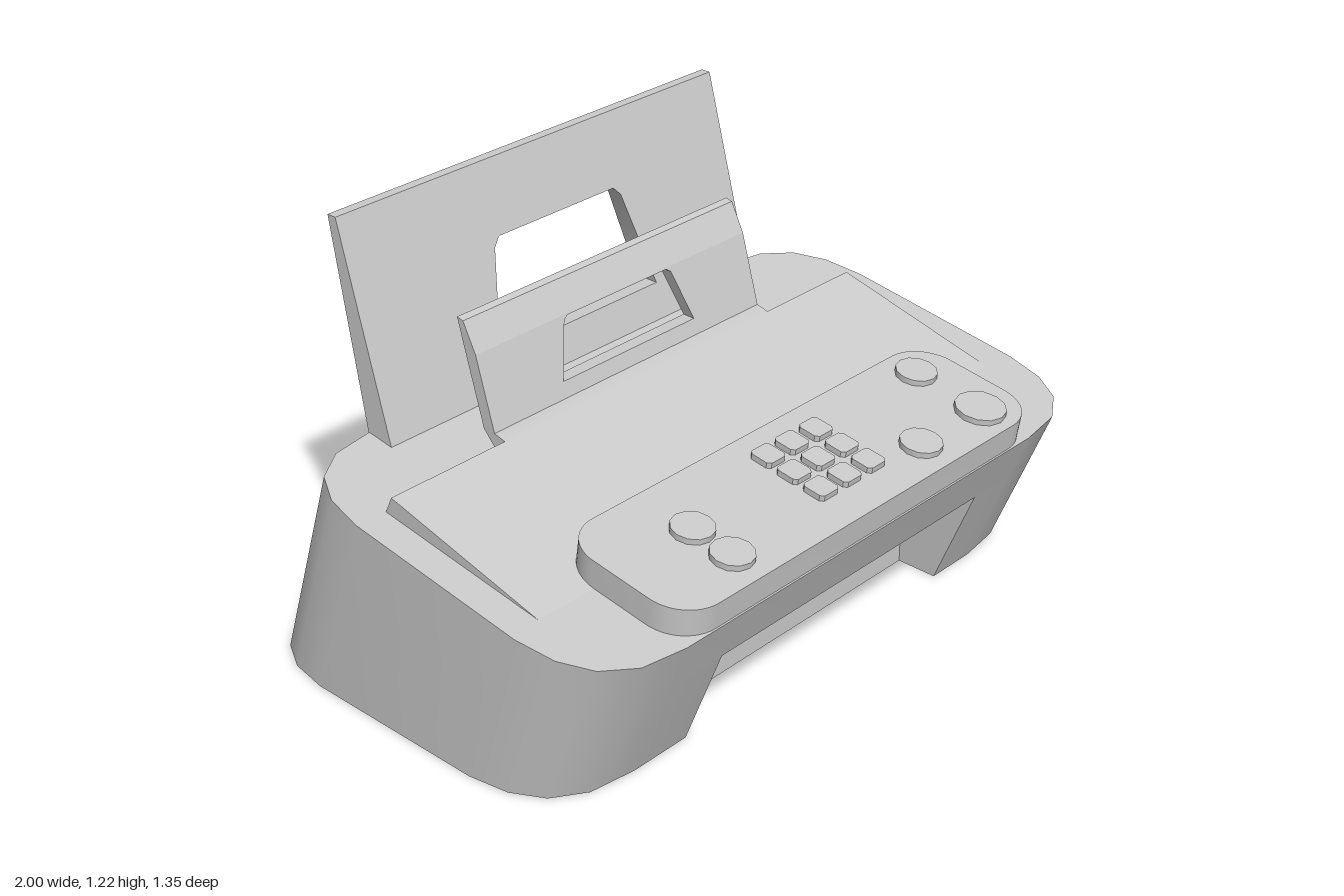
import * as THREE from 'three';
import { toCreasedNormals, mergeGeometries } from 'three/addons/utils/BufferGeometryUtils.js';

const material = new THREE.MeshStandardMaterial({ color: 0xcccccc });
const lerp = THREE.MathUtils.lerp;

function part(name, geometry, crease = 0.6) {
  const mesh = new THREE.Mesh(toCreasedNormals(geometry, crease), material);
  mesh.name = name;
  return mesh;
}

const shapeOf = (pts) => new THREE.Shape(pts.map(([x, y]) => new THREE.Vector2(x, y)));
const extrude = (shape, depth, curveSegments = 6) =>
  new THREE.ExtrudeGeometry(shape, { depth, bevelEnabled: false, curveSegments });

// Move every vertex by a rule
function warp(geometry, rule) {
  const p = geometry.attributes.position;
  for (let i = 0; i < p.count; i++) p.setXYZ(i, ...rule(p.getX(i), p.getY(i), p.getZ(i)));
  return geometry;
}

// Side profile of [z, y] points, swept from x0 to x1
function sweep(profile, x0, x1) {
  return extrude(shapeOf(profile.map(([z, y]) => [-z, y])), x1 - x0)
    .rotateY(Math.PI / 2).translate(x0, 0, 0);
}

// Upright sheet with a hole, its front and back each leaning in z from y0 to y1
function leaningPanel(x0, x1, y0, y1, front, back, hole) {
  const shape = shapeOf([[x0, y0], [x1, y0], [x1, y1], [x0, y1]]);
  shape.holes.push(new THREE.Path(hole.map(([x, y]) => new THREE.Vector2(x, y))));
  return warp(extrude(shape, 1), (x, y, z) => {
    const t = (y - y0) / (y1 - y0);
    return [x, y, z > 0.5 ? lerp(front[0], front[1], t) : lerp(back[0], back[1], t)];
  });
}

// Sloping body top
const SLOPE = 0.17 / 1.13;
const topY = (z) => 0.455 + (0.665 - z) * SLOPE;

// Body: rounded footprint leaning forward, cut by a paper outlet at the lower front
function bodyGeometry() {
  const front = 0.485, back = -0.675, outlet = 0.31, outletWall = 0.36;
  const corner = [[0.3, 0], [0.16, 0.02], [0.07, 0.08], [0.02, 0.17], [0, 0.29]];
  const outline = [];
  for (const [sx, isFront] of [[1, true], [1, false], [-1, false], [-1, true]]) {
    const pts = corner.map(([dx, dz]) => [sx * (1 - dx), isFront ? front - dz : back + dz]);
    if ((sx > 0) !== isFront) pts.reverse();
    outline.push(...pts);
  }
  const notched = [...outline, [-0.51, front], [-0.51, outletWall], [0.54, outletWall], [0.54, front]];

  const layer = (pts, low, high) => {
    const g = extrude(shapeOf(pts.map(([x, z]) => [x, -z])), 1).rotateX(-Math.PI / 2);
    return warp(g, (x, h, z) => {
      const zTop = -0.465 + (z - back) * 1.13 / 1.16;
      const yTop = topY(zTop);
      const y = h < 0.5 ? low : high ?? yTop;
      const fixed = Math.abs(z - outletWall) < 1e-3;
      return [x, y, fixed ? z : lerp(z, zTop, y / yTop)];
    });
  };
  return mergeGeometries([layer(notched, 0, outlet), layer(outline, outlet)]);
}

// Raised control panel lying on the slope, with its buttons
function controlPanel() {
  const group = new THREE.Group();
  group.name = 'controlPanel';
  group.position.set(0, 0.455, 0.665);
  group.rotation.x = Math.atan(SLOPE);

  const x0 = -0.715, x1 = 0.73, y0 = 0.005, y1 = 0.435, r = 0.12;
  const s = new THREE.Shape();
  s.moveTo(x0 + r, y0);
  s.lineTo(x1 - r, y0);
  s.absarc(x1 - r, y0 + r, r, -Math.PI / 2, 0);
  s.absarc(x1 - r, y1 - r, r, 0, Math.PI / 2);
  s.absarc(x0 + r, y1 - r, r, Math.PI / 2, Math.PI);
  s.absarc(x0 + r, y0 + r, r, Math.PI, Math.PI * 1.5);
  group.add(part('controlPanelBase', extrude(s, 0.08).rotateX(-Math.PI / 2)));

  const place = (mesh, x, z) => {
    mesh.position.set(x, 0.087, (z - 0.679) / 0.989);
    group.add(mesh);
  };
  // Round buttons
  for (const [x, z, radius] of [[-0.435, 0.44, 0.06], [-0.435, 0.573, 0.06],
    [0.325, 0.573, 0.06], [0.59, 0.573, 0.073], [0.59, 0.35, 0.06]]) {
    place(part('roundButton', new THREE.CylinderGeometry(radius, radius, 0.02, 12)), x, z);
  }
  // Keypad: small keys with clipped corners
  const a = 0.036, b = 0.026;
  const key = shapeOf([[-b, -a], [b, -a], [a, -b], [a, b], [b, a], [-b, a], [-a, b], [-a, -b]]);
  const keyGeometry = extrude(key, 0.02).rotateX(-Math.PI / 2).translate(0, -0.01, 0);
  for (const x of [-0.049, 0.047, 0.146])
    for (const z of [0.355, 0.445, 0.535]) place(part('key', keyGeometry), x, z);
  return group;
}

// Front paper guide: foot, pierced sheet and bent-back lip
function paperGuide() {
  const group = new THREE.Group();
  group.name = 'paperGuide';
  const x0 = -0.51, x1 = 0.54;
  group.add(
    part('guideFoot', sweep([[-0.155, 0.63], [-0.18, 0.58], [-0.235, 0.64], [-0.195, 0.64]], x0, x1)),
    part('guideSheet', leaningPanel(x0, x1, 0.64, 0.85, [-0.195, -0.255], [-0.235, -0.295],
      [[-0.24, 0.685], [0.28, 0.685], [0.23, 0.835], [0.215, 0.846], [-0.175, 0.846], [-0.19, 0.835]])),
    part('guideLip', sweep([[-0.255, 0.85], [-0.295, 0.85], [-0.32, 0.94], [-0.298, 0.935]], x0, x1)),
  );
  return group;
}

export function createModel() {
  const model = new THREE.Group();
  model.name = 'printer';
  model.add(part('body', bodyGeometry()));

  // Wedge-shaped lid rising towards the back
  model.add(part('lid', sweep([[0.37, 0.499], [-0.155, 0.632], [-0.18, 0.578]], -0.905, 0.9)));

  // Tall paper support at the back
  model.add(part('paperSupport', leaningPanel(-0.71, 0.71, 0.605, 1.22,
    [-0.375, -0.54], [-0.463, -0.57],
    [[-0.285, 0.715], [0.335, 0.715], [0.268, 0.99], [0.245, 1.015], [-0.2, 1.015], [-0.222, 0.99]])));

  model.add(paperGuide(), controlPanel());
  return model;
}
